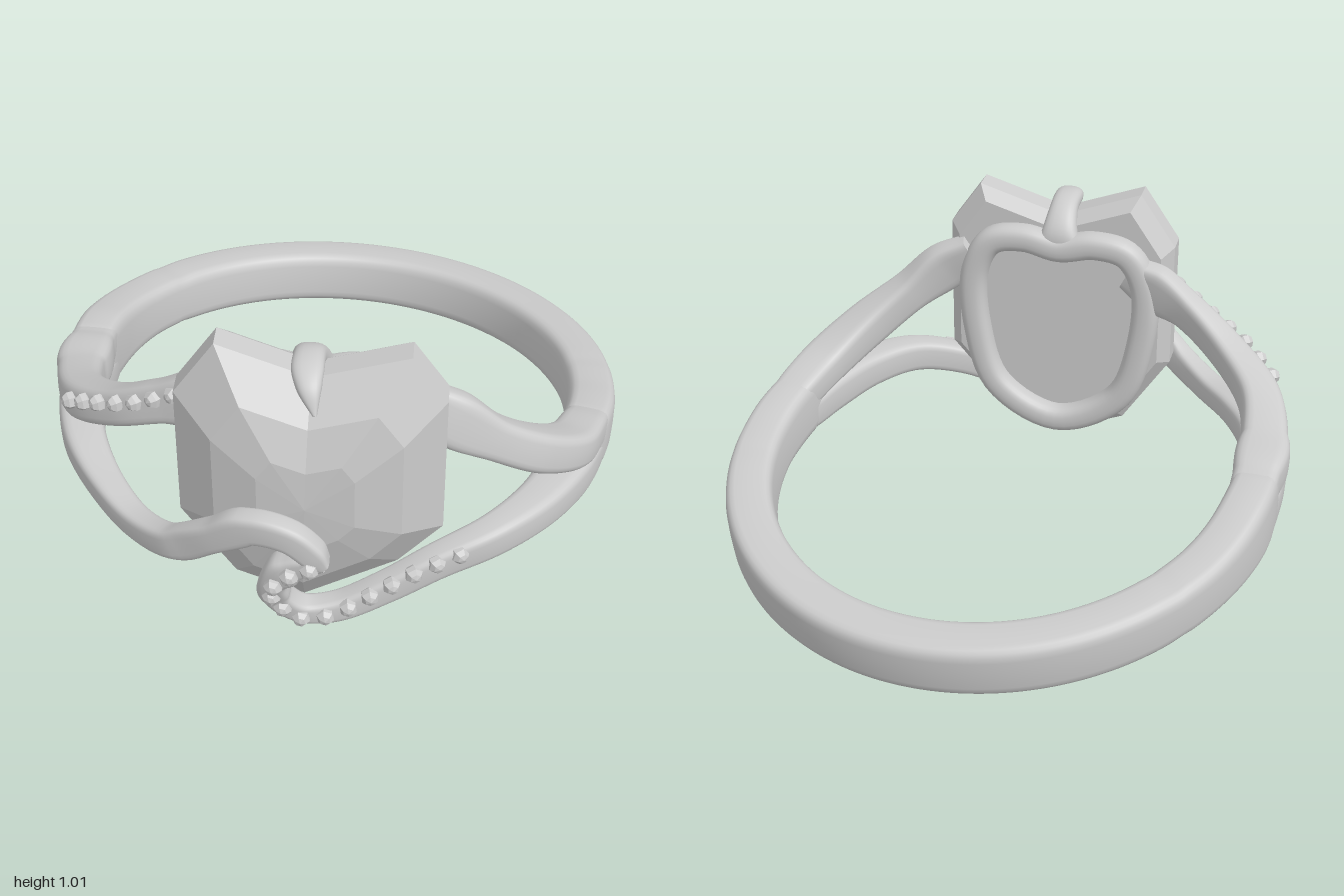
import * as THREE from 'three';

const metal = new THREE.MeshStandardMaterial({ color: 0xcccccc });
const faceted = new THREE.MeshStandardMaterial({ color: 0xcccccc, flatShading: true });
const V = (x, y, z) => new THREE.Vector3(x, y, z);

// Outward direction of the finger ring at a point
const radial = (p) => V(p.x, 0.15 * Math.min(p.z, 0), p.z).normalize();

// Sweeps a rounded-box section along rows of [x, y, z, thickness, height]
function sweep(name, rows, { out = radial, closed = false, steps = 80, power = 0.5 } = {}) {
  const path = new THREE.CatmullRomCurve3(rows.map((r) => V(r[0], r[1], r[2])), closed);
  const size = new THREE.CatmullRomCurve3(rows.map((r) => V(r[3], r[4], 0)), closed);
  const n = 24, pos = [], idx = [];
  const round = (c) => Math.sign(c) * Math.pow(Math.abs(c), power);
  const ring = (t) => {
    const p = path.getPoint(t), s = size.getPoint(t), dir = path.getTangent(t);
    const o = out(p).clone();
    o.addScaledVector(dir, -o.dot(dir)).normalize();
    const side = dir.clone().cross(o);
    for (let j = 0; j < n; j++) {
      const a = (j / n) * Math.PI * 2;
      const q = p.clone().addScaledVector(o, round(Math.cos(a)) * s.x / 2)
        .addScaledVector(side, round(Math.sin(a)) * s.y / 2);
      pos.push(q.x, q.y, q.z);
    }
  };
  const rings = closed ? steps : steps + 1;
  for (let i = 0; i < rings; i++) ring(i / steps);
  for (let i = 0; i < steps; i++) {
    for (let j = 0; j < n; j++) {
      const i2 = (i + 1) % rings, k = (j + 1) % n;
      const a = i * n + j, b = i * n + k, c = i2 * n + j, d = i2 * n + k;
      idx.push(a, b, c, b, d, c);
    }
  }
  // End caps with their own corners so the rims stay crisp
  if (!closed) {
    for (const end of [0, 1]) {
      const base = pos.length / 3;
      ring(end);
      for (let j = 1; j < n - 1; j++) {
        if (end) idx.push(base, base + j, base + j + 1);
        else idx.push(base, base + j + 1, base + j);
      }
    }
  }
  const geo = new THREE.BufferGeometry();
  geo.setAttribute('position', new THREE.Float32BufferAttribute(pos, 3));
  geo.setIndex(idx);
  geo.computeVertexNormals();
  const mesh = new THREE.Mesh(geo, metal);
  mesh.name = name;
  return mesh;
}

// Row of small six-sided stones along a curve
function beadRow(name, points, count) {
  const group = new THREE.Group();
  group.name = name;
  const curve = new THREE.CatmullRomCurve3(points.map((p) => V(...p)));
  const geo = new THREE.SphereGeometry(0.031, 6, 5);
  for (let i = 0; i < count; i++) {
    const bead = new THREE.Mesh(geo, faceted);
    bead.name = 'smallStone';
    bead.position.copy(curve.getPointAt(i / (count - 1)));
    bead.quaternion.setFromUnitVectors(V(0, 1, 0), radial(bead.position));
    group.add(bead);
  }
  return group;
}

// Heart-like cut stone: scaled copies of one outline, lofted and closed
function mainStone() {
  const outline = [[0.42, 0.34], [0.42, 0.84], [0.31, 1.0], [0.01, 0.91], [-0.28, 1.02], [-0.41, 0.83],
    [-0.41, 0.36], [-0.24, 0.1], [-0.02, 0.01], [0.28, 0.18]];
  const layers = [[0, -0.12], [0.9, -0.12], [1, -0.07], [1, 0.01], [0.7, 0.12], [0.36, 0.17], [0, 0.18]];
  const cy = 0.53, n = outline.length, pos = [];
  const at = ([s, z], j) => {
    const [x, y] = outline[j % n];
    return [x * s, cy + (y - cy) * s, z];
  };
  for (let i = 0; i < layers.length - 1; i++) {
    for (let j = 0; j < n; j++) {
      const a = at(layers[i], j), b = at(layers[i], j + 1);
      const c = at(layers[i + 1], j), d = at(layers[i + 1], j + 1);
      if (layers[i][0] > 0) pos.push(...a, ...b, ...c);
      if (layers[i + 1][0] > 0) pos.push(...b, ...d, ...c);
    }
  }
  const geo = new THREE.BufferGeometry();
  geo.setAttribute('position', new THREE.Float32BufferAttribute(pos, 3));
  geo.computeVertexNormals();
  const mesh = new THREE.Mesh(geo, faceted);
  mesh.name = 'mainStone';
  return mesh;
}

export function createModel() {
  const model = new THREE.Group();
  model.name = 'ring';

  // Tilted band round the back; its ends shrink away inside the split shoulders
  const band = [];
  for (let i = 0; i <= 32; i++) {
    const a = -0.21 + (i / 32) * (Math.PI + 0.69);
    const z = -0.04 - 0.875 * Math.sin(a);
    const fade = 1 - THREE.MathUtils.smoothstep(Math.abs(i - 16), 13.5, 16);
    const h = 0.2 + 0.05 * THREE.MathUtils.smoothstep(z, -0.3, 0.15);
    band.push([0.875 * Math.cos(a), 0.27 + 0.175 * z, z, 0.12 + 0.045 * fade, 0.1 + (h - 0.1) * fade]);
  }
  model.add(sweep('band', band, { steps: 128, power: 0.45 }));

  // Upper shoulders running to the setting
  model.add(sweep('upperRightShoulder', [
    [-0.87, 0.29, -0.06, 0.13, 0.1], [-0.865, 0.325, 0.08, 0.15, 0.13], [-0.84, 0.355, 0.2, 0.16, 0.14],
    [-0.785, 0.395, 0.38, 0.16, 0.14], [-0.68, 0.46, 0.55, 0.14, 0.14], [-0.5, 0.55, 0.65, 0.11, 0.13],
    [-0.33, 0.64, 0.685, 0.09, 0.14], [-0.2, 0.69, 0.69, 0.09, 0.19], [-0.1, 0.74, 0.67, 0.08, 0.13]]));
  model.add(sweep('upperLeftShoulder', [
    [0.875, 0.28, -0.16, 0.13, 0.1], [0.875, 0.32, -0.02, 0.155, 0.125], [0.862, 0.367, 0.13, 0.165, 0.13],
    [0.79, 0.46, 0.29, 0.15, 0.14], [0.68, 0.57, 0.41, 0.12, 0.14], [0.57, 0.67, 0.485, 0.1, 0.18],
    [0.46, 0.75, 0.52, 0.08, 0.13]]));

  // Smooth wave sweeping across the stone
  model.add(sweep('smoothWave', [
    [-0.87, 0.25, -0.06, 0.13, 0.1], [-0.865, 0.235, 0.08, 0.15, 0.13], [-0.84, 0.245, 0.2, 0.16, 0.14],
    [-0.79, 0.27, 0.38, 0.16, 0.15], [-0.68, 0.277, 0.58, 0.14, 0.12],
    [-0.52, 0.26, 0.74, 0.11, 0.1], [-0.36, 0.25, 0.85, 0.09, 0.1], [-0.2, 0.29, 0.925, 0.08, 0.11],
    [-0.05, 0.39, 0.95, 0.08, 0.11], [0.08, 0.47, 0.955, 0.08, 0.11], [0.2, 0.46, 0.945, 0.08, 0.1],
    [0.27, 0.4, 0.93, 0.08, 0.09], [0.305, 0.36, 0.92, 0.07, 0.04]]));

  // Stone-set wave curling back under the stone to the left side
  model.add(sweep('beadedWave', [
    [0.3, 0.37, 0.92, 0.07, 0.05], [0.2, 0.32, 0.925, 0.08, 0.09], [0.14, 0.25, 0.925, 0.08, 0.09],
    [0.135, 0.15, 0.895, 0.08, 0.09], [0.2, 0.07, 0.855, 0.08, 0.08], [0.3, 0.065, 0.805, 0.08, 0.09],
    [0.44, 0.13, 0.73, 0.08, 0.1], [0.58, 0.205, 0.635, 0.09, 0.11], [0.72, 0.25, 0.51, 0.11, 0.12],
    [0.815, 0.255, 0.33, 0.14, 0.13], [0.862, 0.245, 0.13, 0.165, 0.14], [0.875, 0.225, -0.02, 0.155, 0.13],
    [0.875, 0.22, -0.16, 0.13, 0.1]]));

  model.add(beadRow('waveStones', [
    [0.27, 0.36, 0.965], [0.2, 0.31, 0.97], [0.15, 0.25, 0.97], [0.14, 0.16, 0.935], [0.22, 0.06, 0.885],
    [0.3, 0.07, 0.85], [0.42, 0.14, 0.785], [0.54, 0.21, 0.71], [0.65, 0.25, 0.63]], 13));
  model.add(beadRow('shoulderStones', [
    [-0.69, 0.5, 0.635], [-0.56, 0.57, 0.69], [-0.42, 0.63, 0.715], [-0.27, 0.71, 0.725]], 7));

  // Turned head: main stone, open frame behind it, and claw over the notch
  const head = new THREE.Group();
  head.name = 'head';
  head.position.set(0.18, 0, 0.72);
  head.rotation.y = 0.28;
  head.add(mainStone());
  head.add(sweep('stoneFrame', [
    [0, 0.81], [-0.13, 0.835], [-0.25, 0.81], [-0.315, 0.69], [-0.31, 0.46], [-0.23, 0.22], [0, 0.1],
    [0.23, 0.22], [0.31, 0.46], [0.315, 0.69], [0.25, 0.81], [0.13, 0.835]].map(([x, y]) => [x, y, -0.135, 0.1, 0.1]),
  { out: () => V(0, 0, 1), closed: true, power: 0.8 }));
  head.add(sweep('claw', [
    [0, 0.79, -0.14, 0.22, 0.06], [0, 0.87, -0.13, 0.13, 0.08], [0, 0.94, -0.06, 0.1, 0.07],
    [0, 0.95, 0.02, 0.1, 0.06], [0.01, 0.92, 0.08, 0.075, 0.06], [0.03, 0.86, 0.13, 0.012, 0.02]],
  { out: () => V(1, 0, 0), steps: 32, power: 0.8 }));
  model.add(head);
  return model;
}
